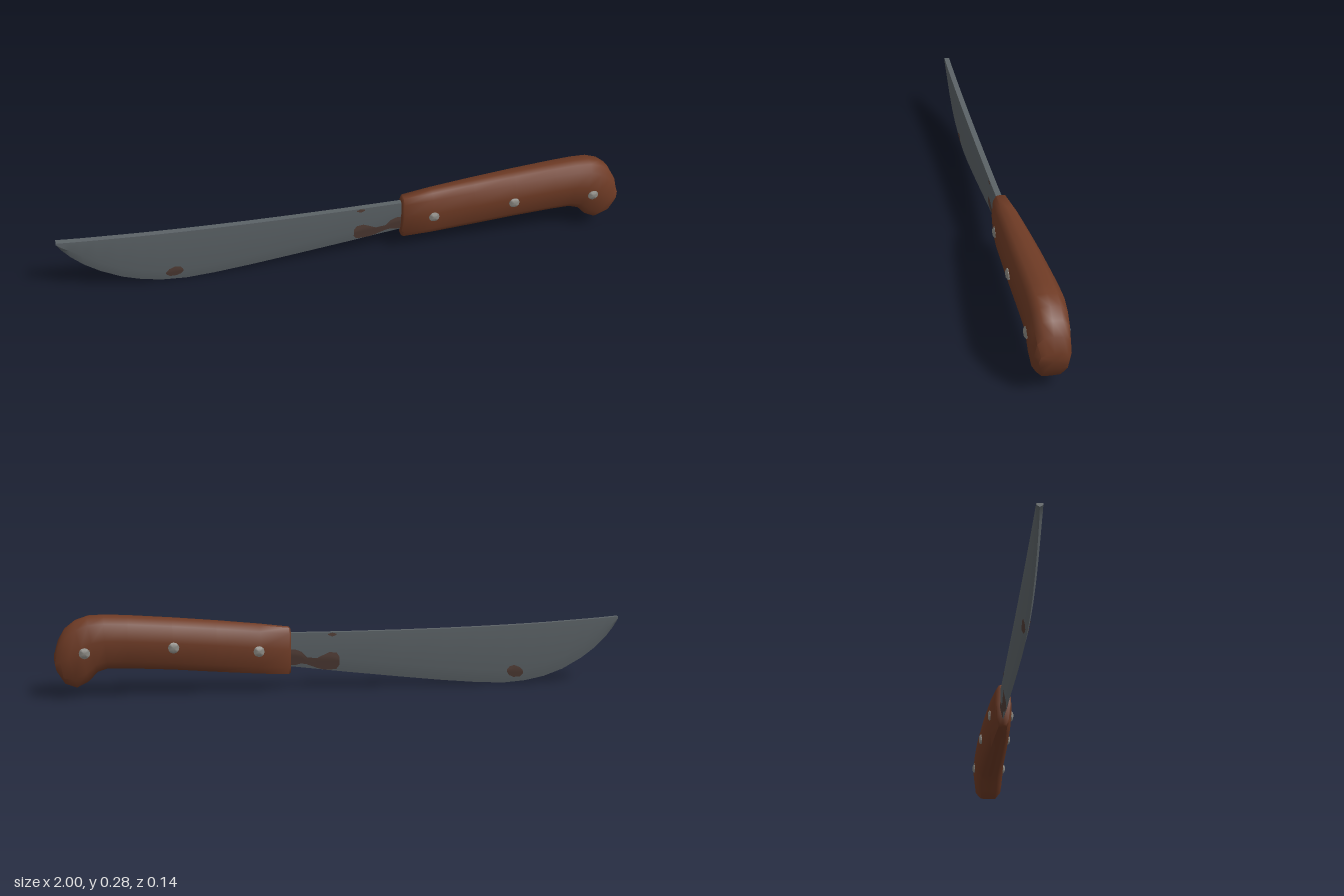
import * as THREE from 'three';
import { toCreasedNormals } from 'three/addons/utils/BufferGeometryUtils.js';

const steel = new THREE.MeshStandardMaterial({ name: 'steel', color: 0x5b6266 });
const wood = new THREE.MeshStandardMaterial({ name: 'wood', color: 0x6f3b25 });
const rust = new THREE.MeshStandardMaterial({ name: 'rust', color: 0x513d36, side: THREE.DoubleSide });
const rivetMetal = new THREE.MeshStandardMaterial({ name: 'rivetMetal', color: 0x8b8983 });

// Blade stations: x, spine height, edge height
const BLADE = [
  [-1, 0.235, 0.222], [-0.985, 0.234, 0.195], [-0.96, 0.232, 0.162], [-0.92, 0.229, 0.122],
  [-0.87, 0.226, 0.085], [-0.8, 0.222, 0.046], [-0.73, 0.218, 0.021], [-0.66, 0.215, 0.007],
  [-0.58, 0.212, 0.001], [-0.48, 0.209, 0.006], [-0.35, 0.206, 0.018], [-0.2, 0.204, 0.035],
  [0, 0.203, 0.059], [0.24, 0.204, 0.09],
];
const THICK = 0.01;
const bevelHeight = (top, low) => Math.min(0.045, (top - low) * 0.5);

// Handle stations: top x, top y, bottom x, bottom y, half width
const HANDLE = [
  [0.192, 0.218, 0.192, 0.063, 0.025], [0.198, 0.226, 0.2, 0.057, 0.031],
  [0.3, 0.238, 0.3, 0.063, 0.041], [0.45, 0.253, 0.45, 0.075, 0.048],
  [0.6, 0.266, 0.6, 0.088, 0.054], [0.75, 0.277, 0.75, 0.097, 0.058],
  [0.83, 0.281, 0.82, 0.099, 0.06], [0.885, 0.279, 0.855, 0.088, 0.062],
  [0.928, 0.265, 0.885, 0.056, 0.062], [0.963, 0.238, 0.926, 0.035, 0.06],
  [0.986, 0.198, 0.965, 0.05, 0.055], [1, 0.15, 0.99, 0.09, 0.045],
];
// Half of the handle's section: share of the way down, share of the half width
const GRIP = [[0, 0], [0.015, 0.5], [0.13, 0.86], [0.45, 1], [0.84, 0.86], [0.99, 0.5], [1, 0]];

// Skins closed rings that run towards +x, and caps both ends
function loft(rings, crease) {
  const n = rings[0].length;
  const pos = rings.flat(2);
  const index = [];
  for (let i = 0; i < rings.length - 1; i++) {
    for (let j = 0; j < n; j++) {
      const a = i * n + j, b = i * n + ((j + 1) % n);
      index.push(a, b, a + n, b, b + n, a + n);
    }
  }
  for (const [ring, end] of [[0, false], [rings.length - 1, true]]) {
    const centre = pos.length / 3;
    for (let k = 0; k < 3; k++) pos.push(rings[ring].reduce((s, p) => s + p[k], 0) / n);
    for (let j = 0; j < n; j++) {
      const a = ring * n + j, b = ring * n + ((j + 1) % n);
      index.push(centre, end ? a : b, end ? b : a);
    }
  }
  const geo = new THREE.BufferGeometry();
  geo.setAttribute('position', new THREE.Float32BufferAttribute(pos, 3));
  geo.setIndex(index);
  return toCreasedNormals(geo, crease);
}

// Half thickness of the blade at a point of its side
function bladeSurface(x, y) {
  let i = 0;
  while (i < BLADE.length - 2 && BLADE[i + 1][0] < x) i++;
  const [p, q] = [BLADE[i], BLADE[i + 1]];
  const t = (x - p[0]) / (q[0] - p[0]);
  const top = p[1] + (q[1] - p[1]) * t, low = p[2] + (q[2] - p[2]) * t;
  return THICK * THREE.MathUtils.clamp((y - low) / bevelHeight(top, low), 0, 1);
}

// Thin stain that hugs the blade; columns are x, upper y, lower y
function stain(columns, side) {
  const rows = 8, pos = [], index = [];
  columns.forEach(([x, hi, lo], c) => {
    for (let r = 0; r <= rows; r++) {
      const y = hi + ((lo - hi) * r) / rows;
      pos.push(x, y, side * (bladeSurface(x, y) + 0.0012));
      if (c < columns.length - 1 && r < rows) {
        const a = c * (rows + 1) + r, d = a + rows + 1;
        if (side > 0) index.push(a, a + 1, d, a + 1, d + 1, d);
        else index.push(a, d, a + 1, a + 1, d, d + 1);
      }
    }
  });
  const geo = new THREE.BufferGeometry();
  geo.setAttribute('position', new THREE.Float32BufferAttribute(pos, 3));
  geo.setIndex(index);
  geo.computeVertexNormals();
  return geo;
}

export function createModel() {
  const group = new THREE.Group();
  const add = (name, geo, mat) => {
    const mesh = new THREE.Mesh(geo, mat);
    mesh.name = name;
    group.add(mesh);
    return mesh;
  };

  // Blade: flat sides with a bevelled cutting edge
  add('blade', loft(BLADE.map(([x, top, low]) => {
    const shoulder = low + bevelHeight(top, low);
    return [[x, top, THICK], [x, shoulder, THICK], [x, low, 0], [x, shoulder, -THICK], [x, top, -THICK]];
  }), 0.5), steel);

  // Handle with a hooked pommel
  const section = [...GRIP, ...GRIP.slice(1, -1).reverse().map(([t, w]) => [t, -w])];
  add('handle', loft(HANDLE.map(([tx, ty, bx, by, half]) =>
    section.map(([t, w]) => [tx + (bx - tx) * t, ty + (by - ty) * t, half * w])), 0.95), wood);

  // Rivets through the handle, domed on both sides
  for (const [x, y, half] of [[0.305, 0.147, 0.048], [0.597, 0.17, 0.062], [0.895, 0.16, 0.068]]) {
    const profile = [[0, -half], [0.012, -half + 0.001], [0.019, -half + 0.006],
      [0.019, half - 0.006], [0.012, half - 0.001], [0, half]].map(p => new THREE.Vector2(...p));
    const rivet = add('rivet', toCreasedNormals(new THREE.LatheGeometry(profile, 12), 0.7), rivetMetal);
    rivet.rotation.x = Math.PI / 2;
    rivet.position.set(x, y, 0);
  }

  // Rust stains on both sides of the blade
  const stains = {
    rustByHandle: [[0.02, 0.115, 0.085], [0.03, 0.13, 0.07], [0.055, 0.133, 0.068], [0.08, 0.122, 0.07],
      [0.1, 0.112, 0.076], [0.135, 0.116, 0.09], [0.155, 0.137, 0.094], [0.175, 0.145, 0.088], [0.2, 0.145, 0.088]],
    rustByEdge: [[-0.65, 0.044, 0.034], [-0.638, 0.058, 0.022], [-0.615, 0.067, 0.022],
      [-0.598, 0.062, 0.03], [-0.59, 0.052, 0.042]],
    rustBySpine: [[0.03, 0.198, 0.194], [0.045, 0.202, 0.188], [0.06, 0.198, 0.194]],
  };
  for (const [name, columns] of Object.entries(stains)) {
    for (const side of [1, -1]) add(name, stain(columns, side), rust);
  }
  return group;
}
